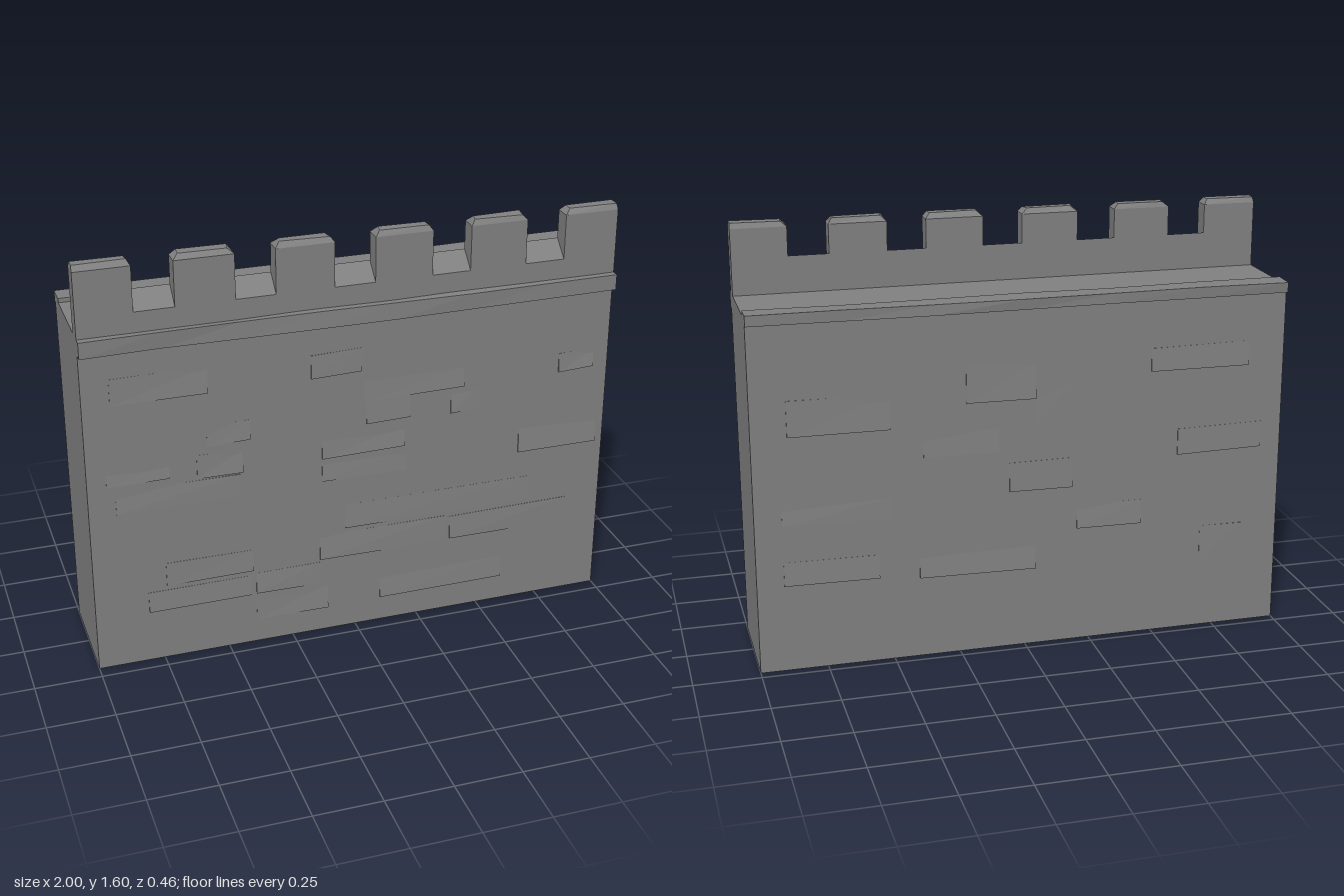
import * as THREE from 'three';

let seed = 7;
const rand = () => (seed = (seed * 16807) % 2147483647) / 2147483647;

// Box given by its limits, with its corners moved by a rule, faceted
function block(x0, x1, y0, y1, z0, z1, segX = 1, segY = 1, move = null) {
  let g = new THREE.BoxGeometry(x1 - x0, y1 - y0, z1 - z0, segX, segY, 1);
  g.translate((x0 + x1) / 2, (y0 + y1) / 2, (z0 + z1) / 2);
  if (move) {
    const p = g.attributes.position, v = new THREE.Vector3(), done = new Map();
    for (let i = 0; i < p.count; i++) {
      v.fromBufferAttribute(p, i);
      const key = v.toArray().map(n => Math.round(n * 1e4)).join();
      if (!done.has(key)) {
        move(v);
        done.set(key, v.clone());
      }
      const q = done.get(key);
      p.setXYZ(i, q.x, q.y, q.z);
    }
    g = g.toNonIndexed();
    g.computeVertexNormals();
  }
  return g;
}

// Cross-section of [z, y] points swept along x
function sweep(points, x0, x1) {
  const shape = new THREE.Shape(points.map(([z, y]) => new THREE.Vector2(-z, y)));
  const g = new THREE.ExtrudeGeometry(shape, { depth: x1 - x0, bevelEnabled: false });
  return g.rotateY(Math.PI / 2).translate(x0, 0, 0);
}

export function createModel() {
  seed = 7;
  const model = new THREE.Group();
  const stone = new THREE.MeshStandardMaterial({ color: 0x808080 });
  stone.name = 'grey stone';
  const add = (name, geometry, parent = model) => {
    const m = new THREE.Mesh(geometry, stone);
    m.name = name;
    parent.add(m);
    return m;
  };

  // Main wall
  const FRONT = 0.197, BACK = 0.213, TOP = 1.333;
  add('wall', block(-1, 1, 0, TOP, -BACK, FRONT));

  // Parapet: merlons with worn, bevelled tops and sloping sills in the gaps
  const merlons = [[-1, -0.8], [-0.655, -0.44], [-0.295, -0.08], [0.07, 0.285], [0.43, 0.645], [0.795, 1]];
  const parapet = new THREE.Group();
  parapet.name = 'parapet';
  model.add(parapet);
  merlons.forEach(([x0, x1], i) => {
    const cx = (x0 + x1) / 2;
    add('merlon', block(x0, x1, TOP, 1.578, 0.135, 0.2), parapet);
    add('merlonTop', block(x0, x1, 1.578, 1.6, 0.135, 0.2, 1, 1, v => {
      if (v.y < 1.59) return;
      const outer = Math.abs(v.x) > 0.99;
      v.x += (cx > v.x ? 1 : -1) * (outer ? 0.002 : 0.012 + rand() * 0.016);
      v.z += (v.z > 0.16 ? -1 : 1) * (0.006 + rand() * 0.012);
      v.y -= rand() * 0.004;
    }), parapet);
    if (i < merlons.length - 1) {
      add('sill', sweep([[0.2, TOP], [0.2, 1.41], [0.135, 1.47], [0.135, TOP]], x1, merlons[i + 1][0]), parapet);
    }
  });

  // Worn string course on the front and coping along the back edge
  add('frontLedge', block(-1, 1, 1.27, 1.337, 0.19, 0.231, 7, 1, v => {
    if (v.z > 0.2) v.z -= rand() * 0.005;
    v.y += (v.y > 1.3 ? -1 : 1) * rand() * 0.005;
  }));
  add('backCoping', block(-1, 1, 1.305, 1.35, -0.231, -0.145, 6, 1, v => {
    if (v.z < -0.2) v.z += rand() * 0.005;
    v.y += v.y > 1.33 ? -rand() * 0.004 : rand() * 0.006;
  }));

  // Shallow stones that stand out at the lower edge and fade into the wall: x0, x1, y0, height
  const frontStones = [
    [-0.9, -0.55, 1.07, 0.1], [-0.17, 0.02, 1.07, 0.09], [0.03, 0.42, 0.95, 0.08], [0.04, 0.21, 0.86, 0.09],
    [0.37, 0.48, 0.85, 0.09], [0.8, 0.94, 0.96, 0.07], [-0.56, -0.4, 0.86, 0.08], [-0.93, -0.7, 0.75, 0.07],
    [-0.6, -0.43, 0.735, 0.09], [-0.13, 0.19, 0.74, 0.09], [-0.13, 0.2, 0.645, 0.08], [-0.9, -0.44, 0.64, 0.09],
    [0.65, 0.97, 0.64, 0.1], [-0.04, 0.7, 0.43, 0.1], [-0.73, -0.4, 0.31, 0.09], [-0.14, 0.36, 0.31, 0.1],
    [0.38, 0.86, 0.31, 0.1], [-0.8, -0.41, 0.21, 0.08], [-0.39, -0.14, 0.21, 0.09], [-0.39, -0.11, 0.1, 0.1],
    [0.1, 0.6, 0.1, 0.1],
  ];
  const backStones = [
    [0.5, 0.87, 0.9, 0.13], [-0.04, 0.22, 0.97, 0.14], [-0.16, -0.04, 0.88, 0.12], [-0.86, -0.48, 1.04, 0.09],
    [-0.18, 0.06, 0.62, 0.11], [-0.92, -0.59, 0.71, 0.1], [-0.04, 0.4, 0.31, 0.1], [-0.86, -0.69, 0.28, 0.13],
    [0.5, 0.9, 0.56, 0.08], [0.55, 0.9, 0.33, 0.09], [-0.45, -0.2, 0.45, 0.09], [0.1, 0.38, 0.78, 0.09],
  ];
  const relief = (name, list, face) => {
    const group = new THREE.Group();
    group.name = name;
    model.add(group);
    for (const [x0, x1, y0, h] of list) {
      add('raisedStone', block(x0, x1, y0, y0 + h, face - 0.015, face, 1, 1, v => {
        if (v.z < face - 0.01) return;
        v.z += v.y < y0 + h / 2 ? 0.002 + rand() * 0.005 : -0.002 + rand() * 0.004;
        v.y += (rand() - 0.5) * 0.008;
      }), group);
    }
    return group;
  };
  relief('frontStonework', frontStones, FRONT);
  // The back list is turned half round, so its x limits are swapped and negated
  relief('backStonework', backStones.map(([a, b, y, h]) => [-b, -a, y, h]), BACK).rotation.y = Math.PI;

  return model;
}
